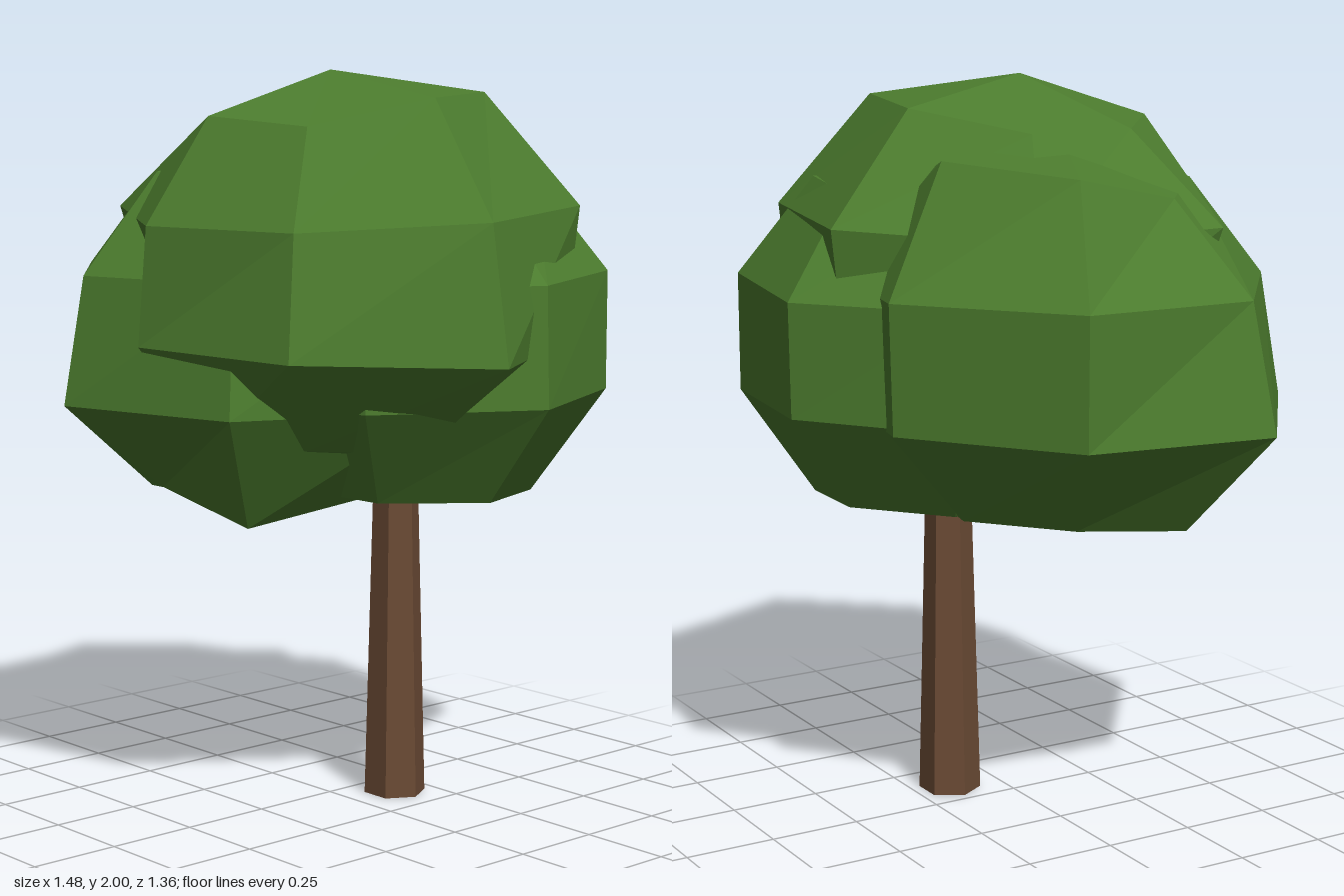
import * as THREE from 'three';

const SPOKES = 7;
const SQUASH = 0.87; // foliage is slightly flatter than a sphere

// Faceted foliage clump: four rings of seven spokes; each entry is a corner's distance from the axis.
// Corners are pushed in or out along the line from the centre, so height follows from that distance.
function clumpGeometry(rings, top, bottom) {
  const positions = [];
  const corner = (ring, k) => {
    k %= SPOKES;
    const r = rings[ring][k];
    const polar = ((ring + 1) * Math.PI) / 5;
    const angle = (k * Math.PI * 2) / SPOKES;
    return [r * Math.cos(angle), (SQUASH * r) / Math.tan(polar), r * Math.sin(angle)];
  };
  const face = (a, b, c) => positions.push(...a, ...b, ...c);
  for (let k = 0; k < SPOKES; k++) {
    face([0, top, 0], corner(0, k + 1), corner(0, k));
    for (let i = 0; i < 3; i++) {
      face(corner(i, k), corner(i, k + 1), corner(i + 1, k + 1));
      face(corner(i, k), corner(i + 1, k + 1), corner(i + 1, k));
    }
    face(corner(3, k), corner(3, k + 1), [0, -bottom, 0]);
  }
  const geometry = new THREE.BufferGeometry();
  geometry.setAttribute('position', new THREE.Float32BufferAttribute(positions, 3));
  geometry.computeVertexNormals();
  return geometry;
}

export function createModel() {
  const tree = new THREE.Group();
  tree.name = 'tree';

  const leaves = new THREE.MeshStandardMaterial({ color: 0x4c7c2e, flatShading: true });
  leaves.name = 'leaf green';
  const bark = new THREE.MeshStandardMaterial({ color: 0x6a4a34, flatShading: true });
  bark.name = 'bark brown';

  // Tapered six-sided trunk
  const trunk = new THREE.Mesh(new THREE.CylinderGeometry(0.06, 0.086, 1, 6), bark);
  trunk.name = 'trunk';
  trunk.rotation.y = Math.PI / 6;
  trunk.position.set(0.11, 0.5, -0.145);
  tree.add(trunk);

  // Three overlapping foliage clumps
  const clumps = [
    {
      name: 'upperFoliage', at: [0.07, 1.45, 0.06], top: 0.55, bottom: 0.52,
      rings: [
        [0.40, 0.34, 0.36, 0.35, 0.35, 0.40, 0.41],
        [0.61, 0.53, 0.54, 0.63, 0.58, 0.665, 0.67],
        [0.67, 0.60, 0.565, 0.52, 0.58, 0.62, 0.63],
        [0.365, 0.35, 0.36, 0.36, 0.36, 0.37, 0.37],
      ],
    },
    {
      name: 'frontFoliage', at: [-0.15, 1.3, 0.06], top: 0.54, bottom: 0.51,
      rings: [
        [0.37, 0.36, 0.36, 0.34, 0.40, 0.43, 0.37],
        [0.60, 0.58, 0.575, 0.575, 0.62, 0.61, 0.60],
        [0.62, 0.63, 0.635, 0.65, 0.61, 0.60, 0.60],
        [0.36, 0.41, 0.35, 0.39, 0.36, 0.36, 0.36],
      ],
    },
    {
      name: 'backFoliage', at: [0.11, 1.295, -0.15], top: 0.48, bottom: 0.475,
      rings: [
        [0.34, 0.34, 0.34, 0.34, 0.34, 0.35, 0.36],
        [0.56, 0.55, 0.55, 0.55, 0.55, 0.545, 0.575],
        [0.57, 0.56, 0.55, 0.55, 0.55, 0.54, 0.575],
        [0.36, 0.35, 0.34, 0.34, 0.35, 0.35, 0.37],
      ],
    },
  ];
  for (const { name, at, rings, top, bottom } of clumps) {
    const clump = new THREE.Mesh(clumpGeometry(rings, top, bottom), leaves);
    clump.name = name;
    clump.position.set(...at);
    tree.add(clump);
  }
  return tree;
}
